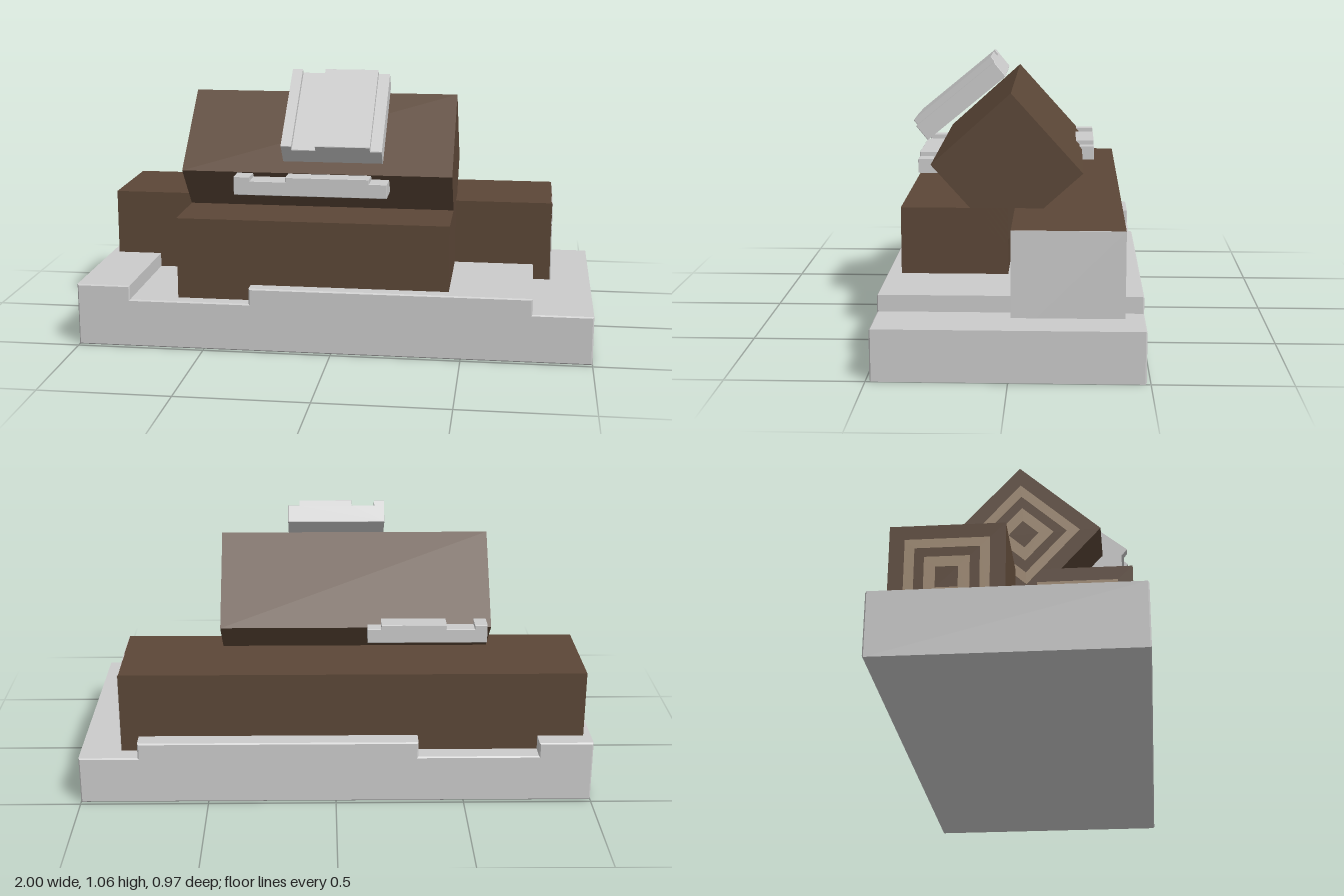
import * as THREE from 'three';

const grey = new THREE.MeshStandardMaterial({ color: 0xcccccc });
const brown = new THREE.MeshStandardMaterial({ color: 0x5c4737 });
const tan = new THREE.MeshStandardMaterial({ color: 0xa08a72 });
const SIDE = 0.41; // square section of every beam

// Stepped slab: 2 wide, 0.25 high, 0.97 deep, standing on y = 0
function slabGeometry() {
  const b = 0.005;
  const outline = [
    [-1, 0], [1, 0], [1, 0.19], [0.77, 0.19], [0.77, 0.252], [-0.32, 0.252],
    [-0.32, 0.19], [-0.79, 0.19], [-0.79, 0.246], [-1, 0.246],
  ];
  const shape = new THREE.Shape(outline.map(([x, y]) => new THREE.Vector2(x, y)));
  const geo = new THREE.ExtrudeGeometry(shape, {
    depth: 0.97 - 2 * b, bevelEnabled: true, bevelSize: b, bevelOffset: -b,
    bevelThickness: b, bevelSegments: 1,
  });
  return geo.translate(0, 0, -0.485 + b);
}

// Square frame used for the end-grain rings
function ringGeometry(outer, inner) {
  const square = (Type, h) => new Type([
    new THREE.Vector2(-h, -h), new THREE.Vector2(h, -h),
    new THREE.Vector2(h, h), new THREE.Vector2(-h, h),
  ]);
  const shape = square(THREE.Shape, outer);
  shape.holes.push(square(THREE.Path, inner));
  return new THREE.ExtrudeGeometry(shape, { depth: 0.003, bevelEnabled: false });
}

// Square beam along x with rings on its -x end
function makeBeam(name, length) {
  const beam = new THREE.Group();
  beam.name = name;
  const body = new THREE.Mesh(new THREE.BoxGeometry(length, SIDE, SIDE), brown);
  body.name = name + 'Body';
  beam.add(body);
  for (const [outer, inner] of [[0.15, 0.115], [0.08, 0.04]]) {
    const ring = new THREE.Mesh(ringGeometry(outer, inner), tan);
    ring.name = 'endGrainRing';
    ring.rotation.y = -Math.PI / 2;
    ring.position.x = -length / 2;
    beam.add(ring);
  }
  return beam;
}

export function createModel() {
  const model = new THREE.Group();
  model.name = 'stackedBeams';
  const slab = slabGeometry();

  // Ground slab and its smaller copies: name, scale, position, tilt
  const slabs = [
    ['groundSlab', [1, 1, 1], [0, 0, 0], 0],
    ['frontLedge', [0.2975, 0.29, 0.2975], [-0.0925, 0.6, 0.243], 0],
    ['rearLedge', [0.2325, 0.29, 0.2975], [-0.3575, 0.6, -0.17], 0],
    ['tiltedPlate', [0.1935, 0.376, 0.414], [-0.0075, 0.856, 0.195], 0.688],
  ];
  for (const [name, scale, position, tilt] of slabs) {
    const mesh = new THREE.Mesh(slab, grey);
    mesh.name = name;
    mesh.scale.set(...scale);
    mesh.position.set(...position);
    mesh.rotation.x = tilt;
    model.add(mesh);
  }

  // Beams sunk into the slab, and the turned beam resting between them
  const rear = makeBeam('rearBeam', 1.81);
  rear.position.set(-0.065, 0.305, -0.21);
  const front = makeBeam('frontBeam', 1.06);
  front.position.set(-0.08, 0.305, 0.225);
  const top = makeBeam('topBeam', 1.06);
  top.position.set(-0.08, 0.66, 0.025);
  top.rotation.x = THREE.MathUtils.degToRad(42);
  model.add(rear, front, top);

  // Bare end of the rear beam
  const cap = new THREE.Mesh(new THREE.BoxGeometry(0.004, SIDE, SIDE), grey);
  cap.name = 'rearBeamEndCap';
  cap.position.x = 0.905;
  rear.add(cap);

  return model;
}
